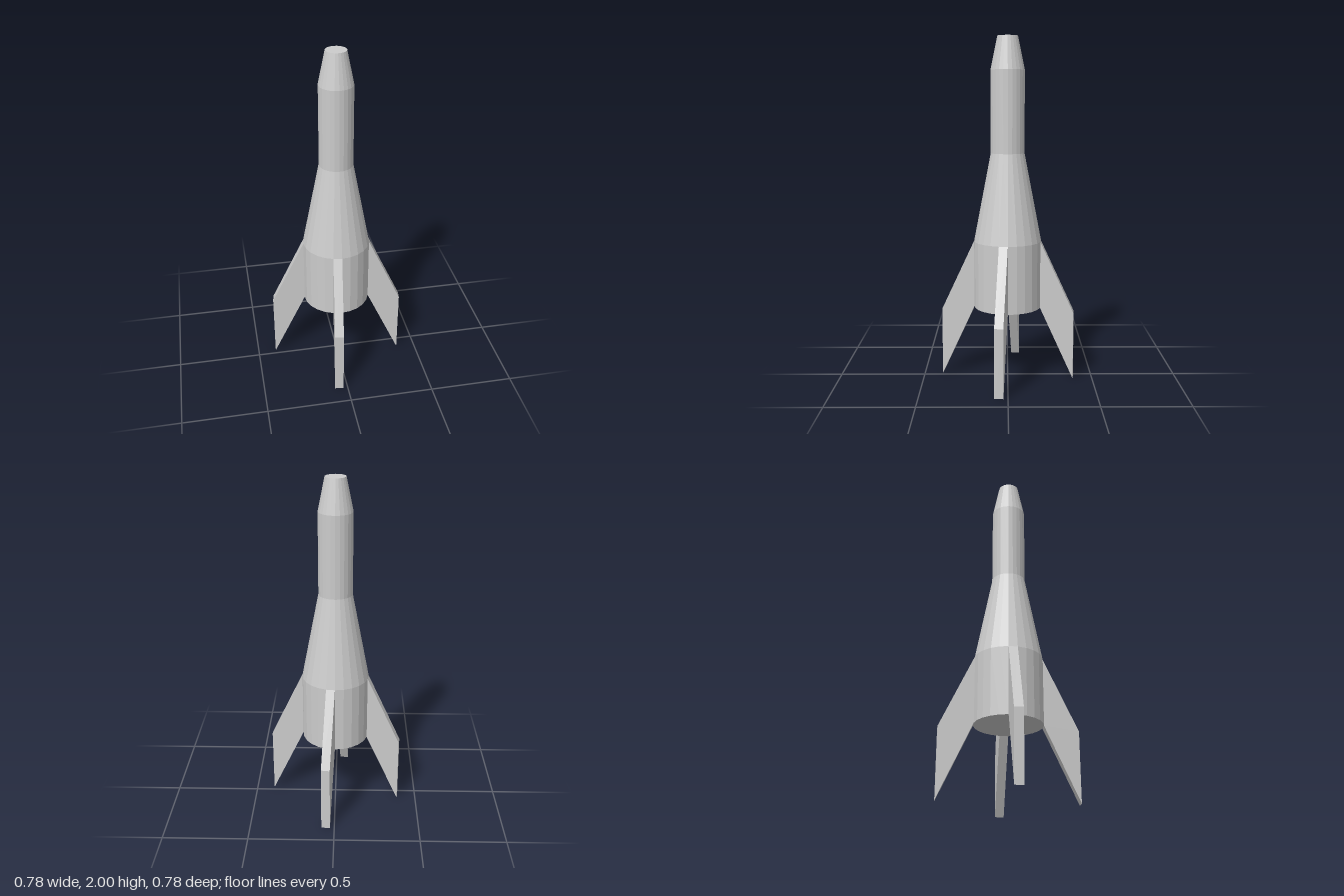
import * as THREE from 'three';

const SIDES = 24;
const RADIUS = 0.197;
const HALF_FACET = Math.PI / SIDES;

export function createModel() {
  const model = new THREE.Group();
  model.name = 'rocket';
  const material = new THREE.MeshStandardMaterial({ color: 0xcccccc, flatShading: true });

  // Body: closed profile from the base up to the blunt nose
  const profile = [
    [0, 0.425], [RADIUS, 0.425], [RADIUS, 0.82], [0.098, 1.335],
    [0.098, 1.81], [0.059, 2], [0, 2],
  ].map(([r, y]) => new THREE.Vector2(r, y));
  const body = new THREE.Mesh(new THREE.LatheGeometry(profile, SIDES), material);
  body.name = 'body';
  model.add(body);

  // Fins: swept plates, each as wide as the body facet it grows from
  const width = 2 * RADIUS * Math.sin(HALF_FACET);
  const root = RADIUS * Math.cos(HALF_FACET);
  const tip = 0.392;
  const outline = new THREE.Shape([
    new THREE.Vector2(root, 0.425),
    new THREE.Vector2(tip, 0),
    new THREE.Vector2(tip, 0.4),
    new THREE.Vector2(root, 0.82),
  ]);
  const finGeometry = new THREE.ExtrudeGeometry(outline, { depth: width, bevelEnabled: false });
  finGeometry.translate(0, 0, -width / 2);

  ['leftFin', 'frontFin', 'rightFin', 'backFin'].forEach((name, i) => {
    const fin = new THREE.Mesh(finGeometry, material);
    fin.name = name;
    fin.rotation.y = -HALF_FACET - (i * Math.PI) / 2;
    model.add(fin);
  });

  return model;
}
